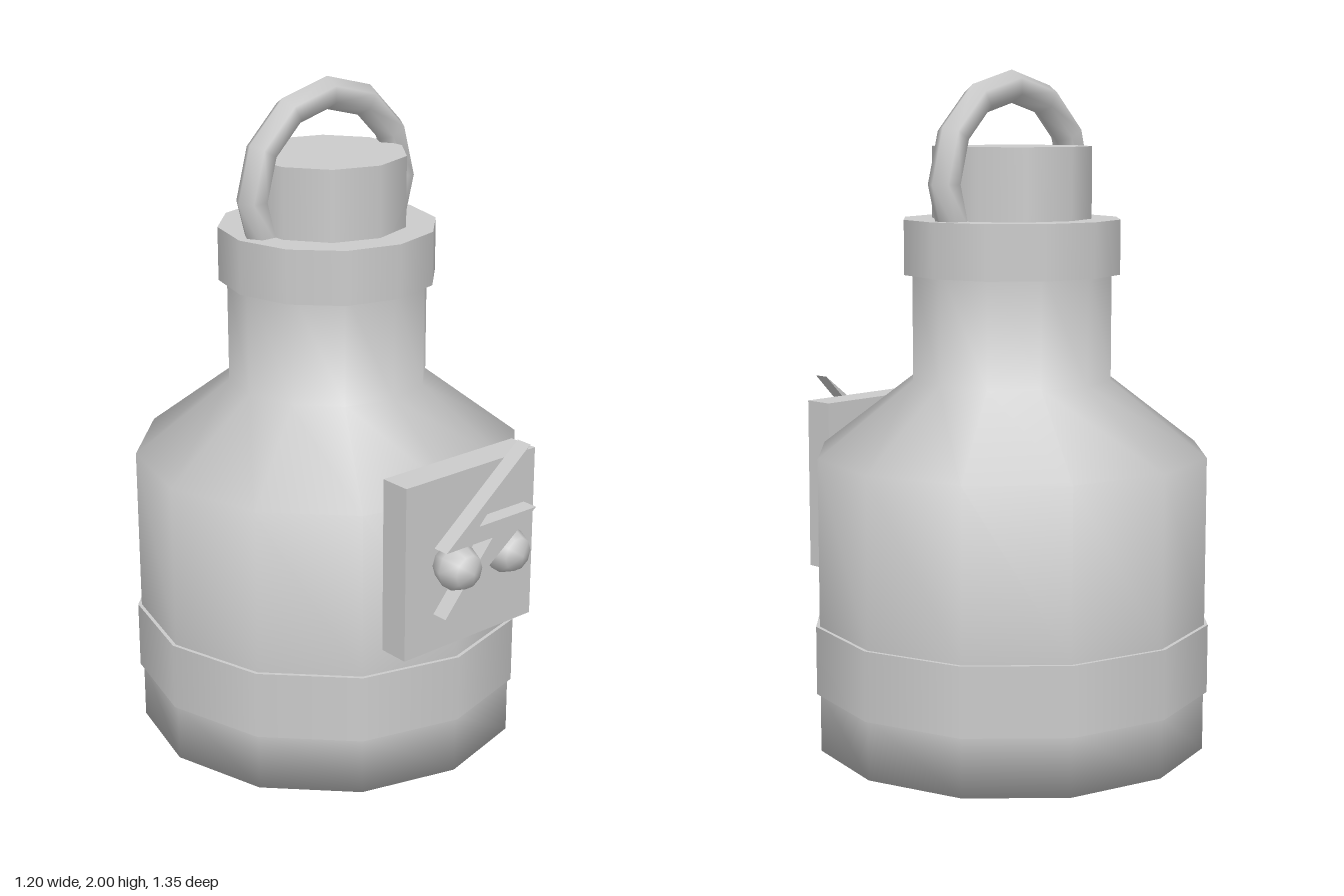
import * as THREE from 'three';

const AXIS_Z = -0.078; // the vessel sits slightly behind centre

export function createModel() {
  const model = new THREE.Group();
  const grey = new THREE.MeshStandardMaterial({ color: 0xcccccc });

  function add(name, geometry, x, y, z) {
    const mesh = new THREE.Mesh(geometry, grey);
    mesh.name = name;
    mesh.position.set(x, y, z);
    model.add(mesh);
    return mesh;
  }

  // Upright ring or drum between two heights
  function drum(name, radius, bottom, top, sides) {
    const geometry = new THREE.CylinderGeometry(radius, radius, top - bottom, sides);
    return add(name, geometry, 0, (bottom + top) / 2, AXIS_Z);
  }

  // Vessel: base, wall, sloped shoulder and neck
  const profile = [
    [0, 0], [0.587, 0], [0.587, 0.18], [0.587, 0.38],
    [0.587, 0.88], [0.3, 1.1], [0.3, 1.45],
  ].map(([r, y]) => new THREE.Vector2(r, y));
  add('vessel', new THREE.LatheGeometry(profile, 12), 0, 0, AXIS_Z);

  // Bands and cap
  drum('lowerBand', 0.598, 0.175, 0.38, 12);
  drum('collar', 0.325, 1.41, 1.57, 12);
  drum('cap', 0.236, 1.57, 1.78, 10);

  // Carrying ring, its lower half sunk into the collar
  add('handle', new THREE.TorusGeometry(0.277, 0.048, 6, 12), 0, 1.675, AXIS_Z);

  // Front panel
  add('panel', new THREE.BoxGeometry(0.495, 0.525, 0.095), -0.002, 0.727, 0.5125);

  // Two round knobs with their poles facing forward
  for (const x of [-0.098, 0.092]) {
    const knob = add('knob', new THREE.SphereGeometry(0.07, 10, 4), x, 0.73, 0.608);
    knob.rotation.x = Math.PI / 2;
  }

  // Zigzag warning plate
  const zigzag = new THREE.Shape([
    [0.138, 1.05], [-0.175, 0.804], [0, 0.804],
    [-0.175, 0.603], [0.17, 0.852], [-0.053, 0.852],
  ].map(([x, y]) => new THREE.Vector2(x, y)));
  add('zigzagPlate', new THREE.ExtrudeGeometry(zigzag, { depth: 0.05, bevelEnabled: false }), 0, 0, 0.596);

  return model;
}
